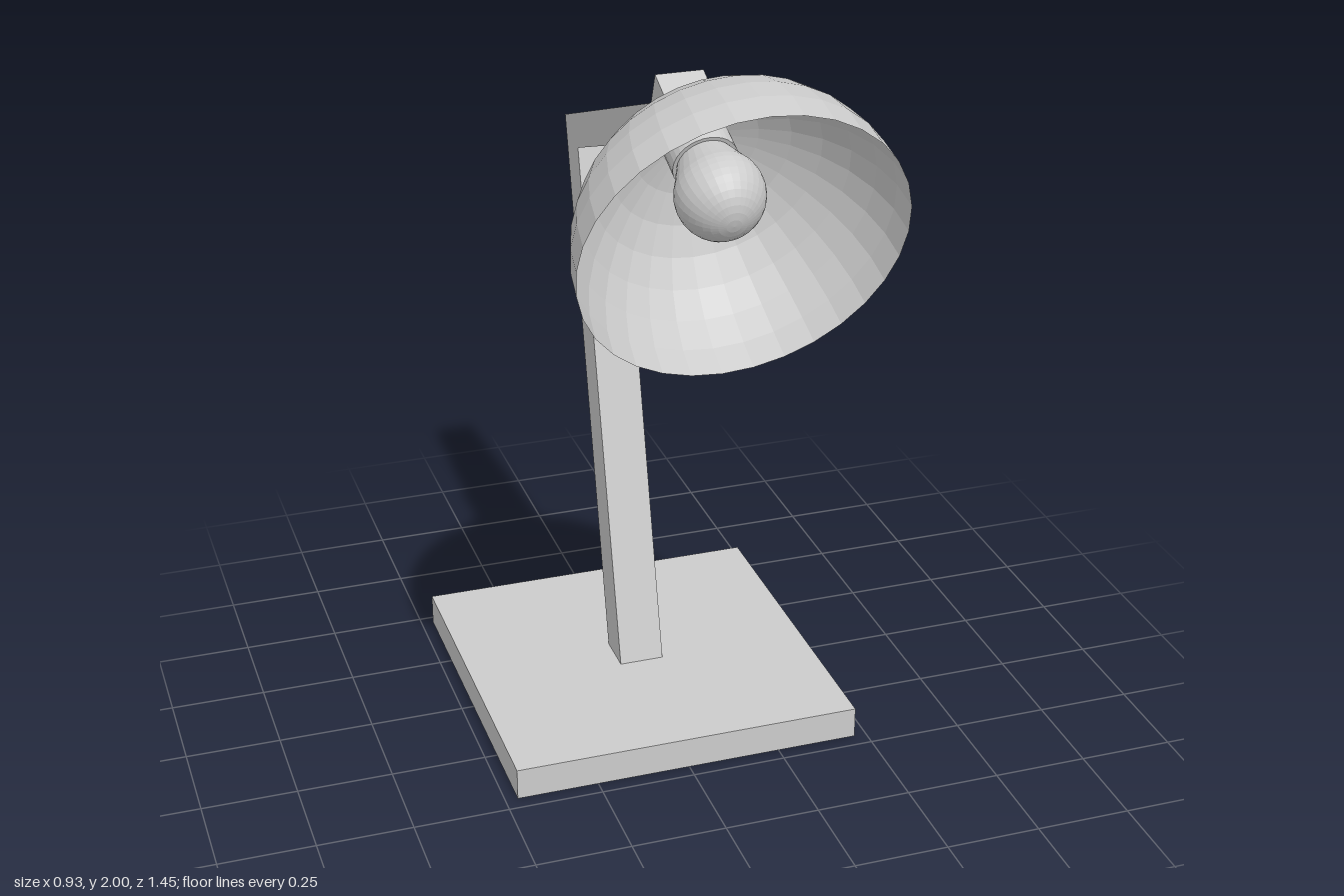
import * as THREE from 'three';

const grey = new THREE.MeshStandardMaterial({ color: 0xcccccc, flatShading: true });
const greySheet = new THREE.MeshStandardMaterial({ color: 0xcccccc, flatShading: true, side: THREE.DoubleSide });

function addPart(parent, name, geometry, material = grey) {
  const mesh = new THREE.Mesh(geometry, material);
  mesh.name = name;
  parent.add(mesh);
  return mesh;
}

export function createModel() {
  const lamp = new THREE.Group();
  lamp.name = 'deskLamp';

  // Square base slab
  const base = addPart(lamp, 'base', new THREE.BoxGeometry(0.934, 0.085, 0.934));
  base.position.set(0, 0.0425, -0.257);

  // Bent arm: side profile as (z, y), extruded across the width
  const profile = [
    [-0.315, 0.08], [-0.2, 0.08], [-0.546, 1.469], [0.196, 1.743],
    [0.244, 1.82], [0.111, 1.878], [0.08, 1.798], [-0.663, 1.523],
  ].map(([z, y]) => new THREE.Vector2(z, y));
  const armGeometry = new THREE.ExtrudeGeometry(new THREE.Shape(profile), { depth: 0.12, bevelEnabled: false });
  armGeometry.translate(0, 0, -0.06);
  armGeometry.rotateY(-Math.PI / 2);
  addPart(lamp, 'arm', armGeometry);

  // Lamp head, built around its local y axis with the opening facing -y
  const head = new THREE.Group();
  head.name = 'head';
  head.position.set(0, 1.607, 0.581);
  head.rotation.x = -1.191;
  lamp.add(head);

  const radius = 0.394;
  addPart(head, 'shade', new THREE.SphereGeometry(radius, 32, 8, 0, Math.PI * 2, 0, Math.PI / 2), greySheet);

  // Mounting plate between arm and shade
  const plate = addPart(head, 'mountingPlate', new THREE.BoxGeometry(0.16, 0.02, 0.16));
  plate.position.y = radius;

  // Socket and round bulb
  const socket = addPart(head, 'socket', new THREE.CylinderGeometry(0.08, 0.08, 0.09, 32));
  socket.position.y = 0.343;
  const outline = [];
  for (let i = 0; i <= 12; i++) {
    const a = (i / 12) * Math.PI * 0.66;
    outline.push(new THREE.Vector2(0.107 * Math.sin(a), 0.189 - 0.107 * Math.cos(a)));
  }
  outline.push(new THREE.Vector2(0.07, 0.3));
  addPart(head, 'bulb', new THREE.LatheGeometry(outline, 32));

  return lamp;
}
